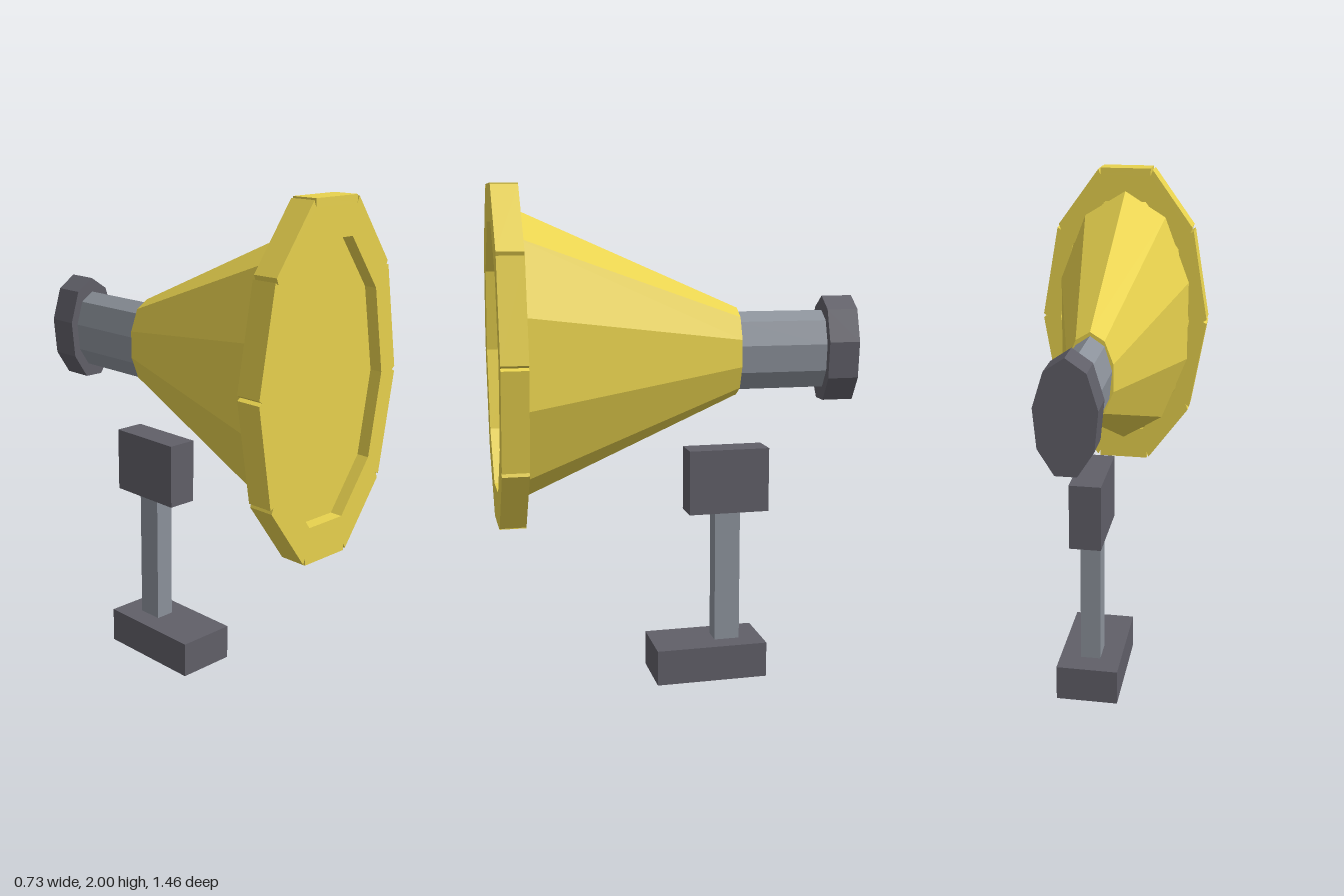
import * as THREE from 'three';

const AXIS_Y = 1.345; // height of the horn's axis
const SQUASH = 0.53;  // the horn is narrower than it is tall

const material = (color) => new THREE.MeshStandardMaterial({ color, flatShading: true });
const yellow = material(0xe8d24e);
const steel = material(0x8c929b);
const dark = material(0x605f68);

export function createModel() {
  const model = new THREE.Group();
  model.name = 'hornLoudspeaker';

  const add = (name, geometry, mat, x, y, z) => {
    const mesh = new THREE.Mesh(geometry, mat);
    mesh.name = name;
    mesh.position.set(x, y, z);
    model.add(mesh);
  };

  // Block spanning y0..y1 and z0..z1, centred on x
  const block = (name, mat, width, y0, y1, z0, z1) =>
    add(name, new THREE.BoxGeometry(width, y1 - y0, z1 - z0), mat, 0, (y0 + y1) / 2, (z0 + z1) / 2);

  // Faceted tube along z with a corner pointing up
  const tube = (name, mat, sides, backRadius, frontRadius, z0, z1) => {
    const geometry = new THREE.CylinderGeometry(backRadius, frontRadius, z1 - z0, sides);
    geometry.rotateX(-Math.PI / 2).scale(SQUASH, 1, 1);
    add(name, geometry, mat, 0, AXIS_Y, (z0 + z1) / 2);
  };

  // Stand
  block('base', dark, 0.248, 0, 0.145, -0.35, 0.11);
  block('post', steel, 0.08, 0.145, 0.69, -0.255, -0.15);
  block('bracket', dark, 0.124, 0.69, 0.953, -0.37, -0.038);

  // Horn, throat and driver
  tube('horn', yellow, 10, 0.175, 0.582, -0.245, 0.68);
  tube('throat', steel, 9, 0.16, 0.16, -0.605, -0.245);
  tube('driver', dark, 9, 0.218, 0.218, -0.73, -0.603);

  // Rim: ten-sided ring with a small notch at every outer corner
  const corner = (i, r) =>
    new THREE.Vector2(Math.cos((i * Math.PI) / 5) * r * SQUASH, Math.sin((i * Math.PI) / 5) * r);
  const R = 0.689, keep = 0.955;
  const outline = [], hole = [];
  for (let i = 0; i < 10; i++) {
    const here = corner(i, R);
    outline.push(
      here.clone().lerp(corner(i - 1, R), (1 - keep) / 2),
      corner(i, R * keep),
      here.clone().lerp(corner(i + 1, R), (1 - keep) / 2)
    );
    hole.push(corner(i, 0.541));
  }
  const ring = new THREE.Shape(outline);
  ring.holes.push(new THREE.Path(hole));
  add('rim', new THREE.ExtrudeGeometry(ring, { depth: 0.103, bevelEnabled: false }), yellow, 0, AXIS_Y, 0.627);

  return model;
}
